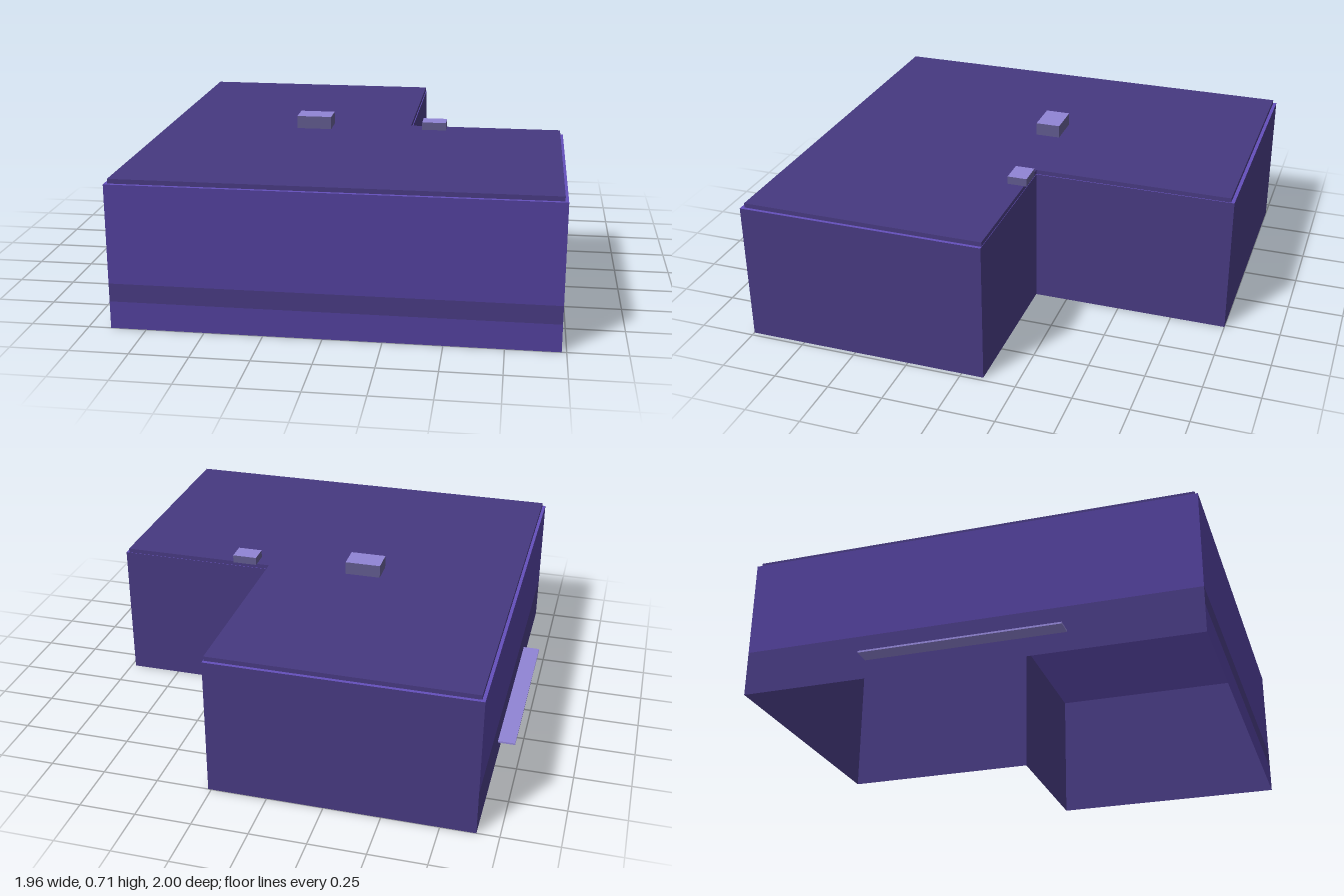
import * as THREE from 'three';

const mat = (name, color) => {
  const m = new THREE.MeshStandardMaterial({ color, side: THREE.DoubleSide });
  m.name = name;
  return m;
};

export function createModel() {
  const model = new THREE.Group();
  model.name = 'building';
  const facade = mat('facadePurple', 0x503f99);
  const dark = mat('darkPurple', 0x46397f);
  const trim = mat('trimViolet', 0x644fba);
  const light = mat('lightLilac', 0x9084d4);
  const grey = mat('greyViolet', 0x5f598c);

  const add = (name, geometry, material) => {
    const mesh = new THREE.Mesh(geometry, material);
    mesh.name = name;
    model.add(mesh);
    return mesh;
  };

  // L-shaped footprint as [x, z], running so that walls face outward
  const corners = [
    [-0.903, 1], [0.98, 1], [0.98, -0.1],
    [0.264, -0.1], [0.264, -1], [-0.903, -1],
  ];
  const wallTop = 0.632, roofTop = 0.652;
  const footprint = (scale) => new THREE.Shape(corners.map(([x, z]) =>
    new THREE.Vector2(0.038 + (x - 0.038) * scale, -z * scale)));

  // Thin upright panel between two footprint corners
  const wall = (name, i, y0, y1, material) => {
    const [ax, az] = corners[i], [bx, bz] = corners[(i + 1) % 6];
    const g = new THREE.PlaneGeometry(Math.hypot(bx - ax, bz - az), y1 - y0);
    const mesh = add(name, g, material);
    mesh.position.set((ax + bx) / 2, (y0 + y1) / 2, (az + bz) / 2);
    mesh.rotation.y = Math.atan2(az - bz, bx - ax);
  };

  // Front wall with a painted band
  wall('frontWallBase', 0, 0, 0.12, facade);
  wall('frontBand', 0, 0.12, 0.2, dark);
  wall('frontWall', 0, 0.2, wallTop, facade);
  // Plain walls around the right side, notch and back
  ['rightWall', 'notchBackWall', 'notchSideWall', 'backWall'].forEach(
    (name, i) => wall(name, i + 1, 0, wallTop, dark));
  // Side wall with a dark base
  wall('sideWallBase', 5, 0, 0.2, dark);
  wall('sideWall', 5, 0.2, wallTop, facade);

  // Bright ledge on top of the walls, then the slightly smaller roof slab
  const ledge = add('roofLedge', new THREE.ShapeGeometry(footprint(1)), trim);
  ledge.rotation.x = -Math.PI / 2;
  ledge.position.y = wallTop;
  const slab = add('roofSlab', new THREE.ExtrudeGeometry(footprint(0.985),
    { depth: roofTop - wallTop, bevelEnabled: false }), dark);
  slab.rotation.x = -Math.PI / 2;
  slab.position.y = wallTop + 0.0003;

  const box = (name, x0, x1, y0, y1, z0, z1, material) => {
    const g = new THREE.BoxGeometry(x1 - x0, y1 - y0, z1 - z0);
    add(name, g, material)
      .position.set((x0 + x1) / 2, (y0 + y1) / 2, (z0 + z1) / 2);
  };
  // Roof units with a light top and grey sides
  const unit = [grey, grey, light, grey, grey, grey];
  box('largeRoofUnit', -0.27, -0.108, roofTop, 0.711, -0.09, 0.023, unit);
  box('smallRoofUnit', 0.32, 0.432, roofTop, 0.688, -0.11, -0.022, unit);
  // Light canopy plate along the side wall
  box('sideCanopy', -0.98, -0.903, 0.084, 0.092, -0.44, 0.44, light);

  return model;
}
